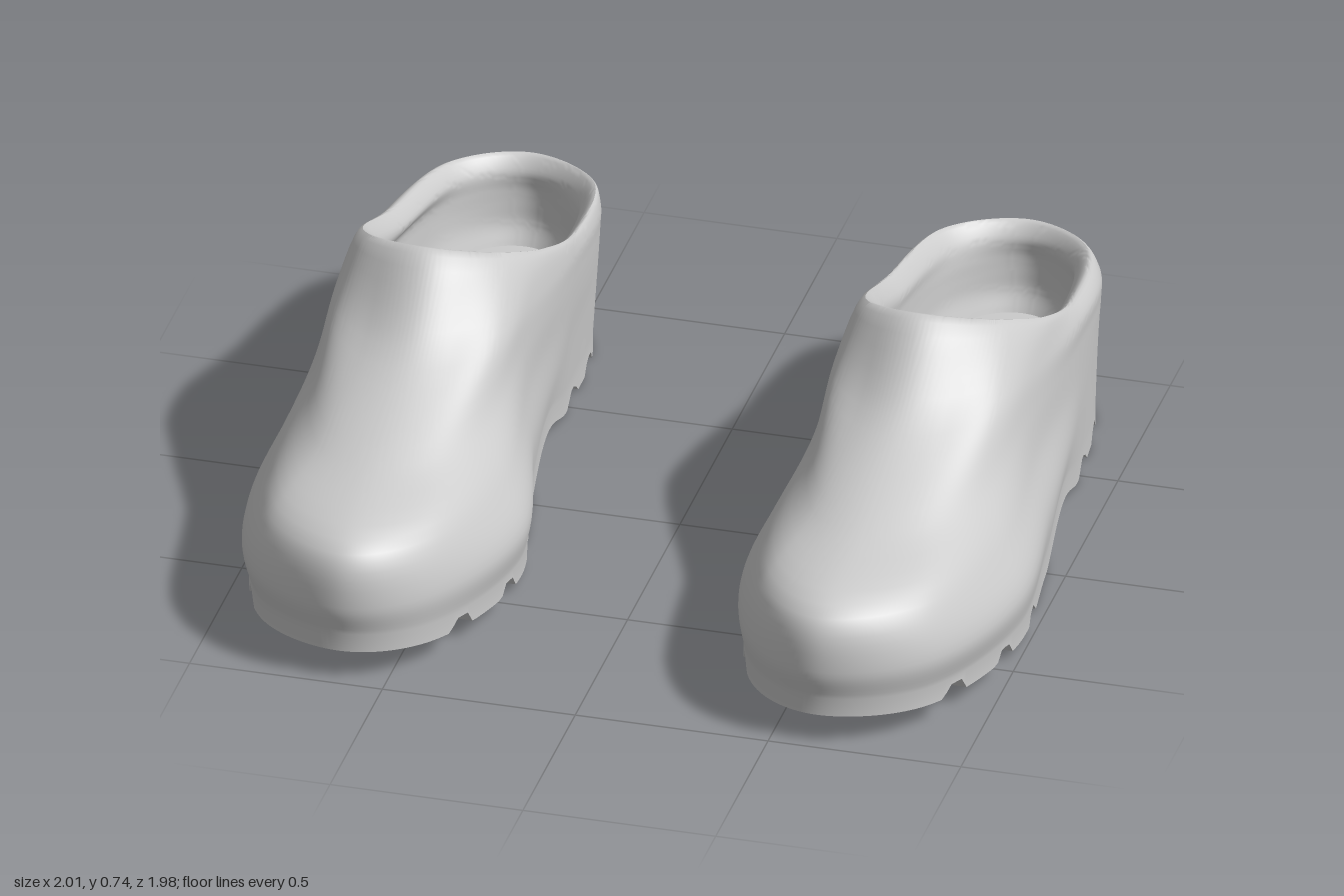
import * as THREE from 'three';
import { toCreasedNormals } from 'three/addons/utils/BufferGeometryUtils.js';

const N = 240;      // columns around the shoe (multiple of the 12 stations)
const STEPS = 6;    // rows between neighbouring rings

// Rings from sole edge to rim. Seven stations from toe to heel, each [z, y, inner x, outer x].
const soleEdge = [
  [0.975, 0.13, 0.62, 0.62], [0.83, 0.11, 0.41, 0.865], [0.42, 0.07, 0.305, 0.985], [0, 0.05, 0.385, 0.95],
  [-0.42, 0.06, 0.42, 0.91], [-0.82, 0.05, 0.45, 0.85], [-0.96, 0.05, 0.645, 0.645],
];
const bulge = [
  [0.99, 0.21, 0.62, 0.62], [0.83, 0.2, 0.4, 0.885], [0.42, 0.17, 0.29, 1], [0, 0.2, 0.375, 0.965],
  [-0.42, 0.22, 0.405, 0.92], [-0.82, 0.22, 0.44, 0.855], [-0.96, 0.2, 0.645, 0.645],
];
const shoulder = [
  [0.955, 0.345, 0.62, 0.62], [0.79, 0.33, 0.43, 0.85], [0.4, 0.3, 0.345, 0.945], [0, 0.34, 0.39, 0.93],
  [-0.42, 0.33, 0.395, 0.92], [-0.82, 0.31, 0.435, 0.86], [-0.975, 0.3, 0.645, 0.645],
];
const vamp = [
  [0.62, 0.425, 0.63, 0.63], [0.56, 0.415, 0.5, 0.78], [0.3, 0.42, 0.415, 0.88], [-0.02, 0.45, 0.395, 0.915],
  [-0.42, 0.42, 0.39, 0.92], [-0.82, 0.37, 0.432, 0.865], [-0.982, 0.36, 0.645, 0.645],
];
const instep = [
  [0.28, 0.56, 0.635, 0.635], [0.24, 0.555, 0.53, 0.75], [0.12, 0.555, 0.43, 0.86], [-0.08, 0.54, 0.4, 0.905],
  [-0.42, 0.48, 0.39, 0.92], [-0.82, 0.42, 0.43, 0.865], [-0.985, 0.405, 0.645, 0.645],
];
const rim = [
  [0.065, 0.737, 0.64, 0.64], [0.02, 0.715, 0.54, 0.745], [-0.08, 0.67, 0.465, 0.83], [-0.25, 0.595, 0.42, 0.885],
  [-0.5, 0.505, 0.41, 0.88], [-0.84, 0.457, 0.45, 0.83], [-0.965, 0.445, 0.645, 0.645],
];

// Moves a ring inwards by d and down by drop, for the inside of the wall
function inset(ring, d, drop) {
  const shift = [-1, -0.6, -0.2, 0, 0.2, 0.6, 1];
  return ring.map(([z, y, a, b], k) => {
    const dx = a === b ? 0 : d;
    return [z + shift[k] * d, y - drop, a + dx, b - dx];
  });
}

// Underside: sprung toe, raised arch, flat heel
function soleLine(z) {
  if (z > 0) return 0.08 * Math.pow(z / 0.98, 1.5);
  return z > -0.47 ? 0.07 * Math.pow(Math.sin(Math.PI * z / -0.47), 1.4) : 0;
}

// Height of the tread grooves cut across the underside
function groove(z) {
  let h = 0;
  for (const c of [0.73, 0.49, 0.245, -0.54, -0.71]) {
    h = Math.max(h, 0.032 * THREE.MathUtils.clamp((0.042 - Math.abs(z - c)) / 0.016, 0, 1));
  }
  return h;
}

// Closed smooth loop: toe, outer side, heel, inner side
function sampleRing(ring) {
  const outer = ring.map(([z, y, , b]) => new THREE.Vector3(b, y, z));
  const inner = ring.slice(1, -1).reverse().map(([z, y, a]) => new THREE.Vector3(a, y, z));
  const curve = new THREE.CatmullRomCurve3([...outer, ...inner], true, 'catmullrom', 0.5);
  return Array.from({ length: N }, (_, i) => curve.getPoint(i / N));
}

// Builds a grid of N columns, or a cap that joins the two sides of a loop
function makeGeometry(points, index, side) {
  const pos = points.flatMap((p) => [p.x * side, p.y, p.z]);
  if (side < 0) index.reverse();
  const g = new THREE.BufferGeometry();
  g.setAttribute('position', new THREE.Float32BufferAttribute(pos, 3));
  g.setIndex(index);
  return toCreasedNormals(g, 0.7);
}

function wallGeometry(rows, side) {
  const index = [];
  for (let j = 0; j < rows.length - 1; j++) {
    for (let i = 0; i < N; i++) {
      const n = (i + 1) % N;
      const a = j * N + i, b = j * N + n, c = b + N, d = a + N;
      index.push(a, b, c, a, c, d);
    }
  }
  return makeGeometry(rows.flat(), index, side);
}

function capGeometry(loop, side, faceUp) {
  const index = [];
  for (let i = 0; i < N / 2; i++) {
    const p = i, p2 = i + 1, q = (N - i) % N, q2 = N - i - 1;
    if (p !== q) index.push(p, q, q2);
    if (p2 !== q2) index.push(p, q2, p2);
  }
  if (faceUp) index.reverse();
  return makeGeometry(loop, index, side);
}

function makeShoe(side, material) {
  // Insole: low under the toes, higher under the heel
  const floorY = [0.13, 0.13, 0.13, 0.145, 0.2, 0.21, 0.21];
  const insole = inset(bulge, 0.06, 0).map(([z, , a, b], k) => [z, floorY[k], a, b]);
  const rings = [
    soleEdge, bulge, shoulder, vamp, instep, rim,
    inset(rim, 0.032, 0.04), inset(instep, 0.05, 0.05), inset(vamp, 0.05, 0.05),
    inset(shoulder, 0.05, 0.04), insole,
  ].map(sampleRing);
  for (const p of rings[0]) p.y = soleLine(p.z) + 0.05;

  // Smooth each column through all the rings
  const rowCount = (rings.length - 1) * STEPS;
  const rows = Array.from({ length: rowCount + 1 }, () => []);
  for (let i = 0; i < N; i++) {
    const column = new THREE.CatmullRomCurve3(rings.map((r) => r[i]));
    for (let j = 0; j <= rowCount; j++) rows[j].push(column.getPoint(j / rowCount));
  }
  const tread = rows[0].map((p) => new THREE.Vector3(p.x, soleLine(p.z) + groove(p.z), p.z));

  const shoe = new THREE.Group();
  const add = (name, geometry) => {
    const mesh = new THREE.Mesh(geometry, material);
    mesh.name = name;
    shoe.add(mesh);
  };
  add('upper', wallGeometry([tread, ...rows], side));
  add('treadedSole', capGeometry(tread, side, false));
  add('insole', capGeometry(rows[rowCount], side, true));
  return shoe;
}

export function createModel() {
  const group = new THREE.Group();
  group.name = 'clogs';
  const material = new THREE.MeshStandardMaterial({ color: 0xcccccc });
  for (const side of [1, -1]) {
    const shoe = makeShoe(side, material);
    shoe.name = side > 0 ? 'leftClog' : 'rightClog';
    group.add(shoe);
  }
  return group;
}
